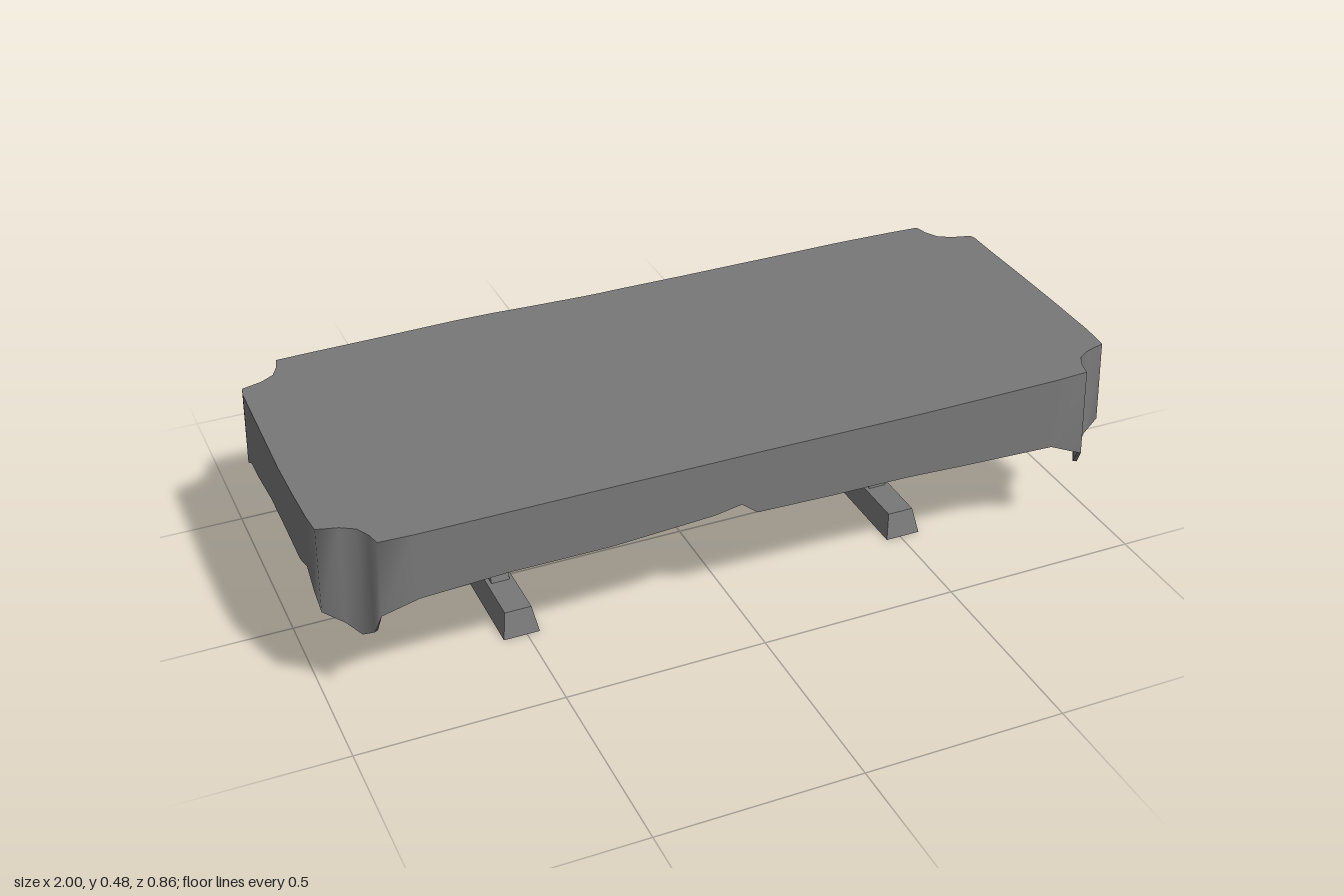
import * as THREE from 'three';
import { toCreasedNormals } from 'three/addons/utils/BufferGeometryUtils.js';

const TOP = 0.484;
const CLOTH = 0.01;
const material = new THREE.MeshStandardMaterial({ color: 0x787878 });
const openMaterial = new THREE.MeshStandardMaterial({ color: 0x787878, side: THREE.DoubleSide });

// Notched corner in plan: x, z and how far the hem flares outwards
const notch = [[0.882, 0.418, 0.006], [0.89, 0.385, 0.01], [0.907, 0.352, 0.012],
  [0.94, 0.332, 0.01], [0.99, 0.318, 0.006]];

// Corner points with their hem heights; sx and sz mirror the notch
function corner(sx, sz, hems) {
  const pts = notch.map(([x, z, flare], i) => [sx * x, sz * z, hems[i], flare]);
  return sx * sz > 0 ? pts : pts.reverse();
}

// Cloth edge as [x, z, hem height, hem flare], running round the table
function clothEdge() {
  const front = [[-0.8, 0.422, 0.315], [-0.6, 0.422, 0.325], [-0.35, 0.422, 0.325], [-0.1, 0.423, 0.34],
    [-0.03, 0.423, 0.352], [0.01, 0.423, 0.32], [0.2, 0.425, 0.316], [0.4, 0.427, 0.315],
    [0.55, 0.426, 0.307], [0.8, 0.423, 0.295]];
  const right = [[0.995, 0.265, 0.285], [0.997, 0.228, 0.335], [0.997, 0.19, 0.303], [0.998, 0.105, 0.325],
    [0.998, 0.085, 0.343], [0.998, 0.05, 0.325], [0.997, -0.1, 0.325], [0.995, -0.22, 0.324],
    [0.995, -0.25, 0.307], [0.995, -0.305, 0.29]];
  const back = [[0.8, -0.422, 0.295], [0.65, -0.425, 0.298], [0.43, -0.422, 0.305], [0.38, -0.422, 0.32],
    [0.2, -0.42, 0.3], [0, -0.42, 0.293], [-0.04, -0.419, 0.318], [-0.1, -0.42, 0.303],
    [-0.23, -0.425, 0.303], [-0.33, -0.43, 0.325], [-0.42, -0.431, 0.325], [-0.65, -0.424, 0.308],
    [-0.8, -0.421, 0.275]];
  const left = [[-0.995, -0.29, 0.292], [-0.996, -0.22, 0.297], [-0.998, -0.08, 0.32], [-1, 0.05, 0.325],
    [-0.998, 0.17, 0.312], [-0.996, 0.225, 0.328], [-0.995, 0.265, 0.288]];
  return [
    ...front, ...corner(1, 1, [0.255, 0.211, 0.222, 0.25, 0.272]),
    ...right, ...corner(1, -1, [0.258, 0.245, 0.211, 0.24, 0.275]),
    ...back, ...corner(-1, -1, [0.25, 0.237, 0.213, 0.24, 0.275]),
    ...left, ...corner(-1, 1, [0.295, 0.235, 0.213, 0.24, 0.27]),
  ];
}

// Ring of points moved inwards by the thickness of the cloth
function inset(ring, drop) {
  return ring.map(([x, y, z], i) => {
    const a = ring[(i + ring.length - 1) % ring.length];
    const b = ring[(i + 1) % ring.length];
    const tx = b[0] - a[0];
    const tz = b[2] - a[2];
    const k = CLOTH / Math.hypot(tx, tz);
    return [x + tz * k, y - drop, z - tx * k];
  });
}

// Band between two rings, smooth all the way round
function band(lower, upper) {
  const pos = [];
  lower.forEach((a, i) => {
    const j = (i + 1) % lower.length;
    pos.push(...a, ...lower[j], ...upper[j], ...a, ...upper[j], ...upper[i]);
  });
  const geometry = new THREE.BufferGeometry();
  geometry.setAttribute('position', new THREE.Float32BufferAttribute(pos, 3));
  return toCreasedNormals(geometry, 1.8);
}

// Flat sheet filling a ring; facing is +1 for up, -1 for down
function sheet(ring, facing) {
  const shape = new THREE.Shape(ring.map(([x, , z]) => new THREE.Vector2(x, -facing * z)));
  return new THREE.ShapeGeometry(shape).rotateX(-facing * Math.PI / 2).translate(0, ring[0][1], 0);
}

// Foot: a long hollow box, open below and tapering towards its top
function footGeometry() {
  const geometry = new THREE.BoxGeometry(0.09, 0.063, 0.483);
  const p = geometry.attributes.position;
  for (let i = 0; i < p.count; i++) {
    if (p.getY(i) > 0) {
      p.setX(i, p.getX(i) * 0.74);
      p.setZ(i, p.getZ(i) * 0.92);
    }
  }
  geometry.setIndex([...geometry.index.array].filter((_, i) => i < 18 || i >= 24));
  geometry.translate(0, 0.0315, 0);
  const flat = geometry.toNonIndexed();
  flat.computeVertexNormals();
  return flat;
}

// Scrolled arm cut from a board; side is +1 or -1 along z
function armGeometry(side) {
  const outline = [[0.1, 0.062], [0.057, 0.195], [0.077, 0.265], [0.1, 0.325], [0.125, 0.352],
    [0.152, 0.36], [0.158, 0.342], [0.17, 0.326], [0.195, 0.322], [0.218, 0.336], [0.228, 0.363],
    [0.215, 0.4], [0.177, 0.424], [0.122, 0.416], [0.072, 0.38], [0.038, 0.325], [0.018, 0.285],
    [0.001, 0.187], [0.043, 0.062]];
  const shape = new THREE.Shape(outline.map(([z, y]) => new THREE.Vector2(side * z, y)));
  const geometry = new THREE.ExtrudeGeometry(shape, { depth: 0.046, bevelEnabled: false });
  return geometry.translate(0, 0, -0.023).rotateY(-Math.PI / 2);
}

export function createModel() {
  const model = new THREE.Group();
  model.name = 'table';
  const add = (parent, name, geometry, mat = material) => {
    const mesh = new THREE.Mesh(geometry, mat);
    mesh.name = name;
    parent.add(mesh);
  };

  // Tablecloth with a thin inner layer
  const edge = clothEdge();
  const rim = edge.map(([x, z]) => [x, TOP, z]);
  const hem = edge.map(([x, z, y, flare = 0]) => [x + Math.sign(x) * flare, y, z + Math.sign(z) * flare]);
  const innerRim = inset(rim, CLOTH);
  const innerHem = inset(hem, 0);
  add(model, 'clothTop', sheet(rim, 1));
  add(model, 'clothUnderside', sheet(innerRim, -1));
  add(model, 'clothSkirt', band(hem, rim));
  add(model, 'clothHem', band(innerHem, hem));
  add(model, 'clothLining', band(innerRim, innerHem));

  // Two trestles
  for (const [name, x] of [['rightTrestle', -0.513], ['leftTrestle', 0.507]]) {
    const trestle = new THREE.Group();
    trestle.name = name;
    trestle.position.set(x, 0, 0.003);
    add(trestle, 'foot', footGeometry(), openMaterial);
    add(trestle, 'frontArm', armGeometry(1));
    add(trestle, 'backArm', armGeometry(-1));
    model.add(trestle);
  }
  return model;
}
